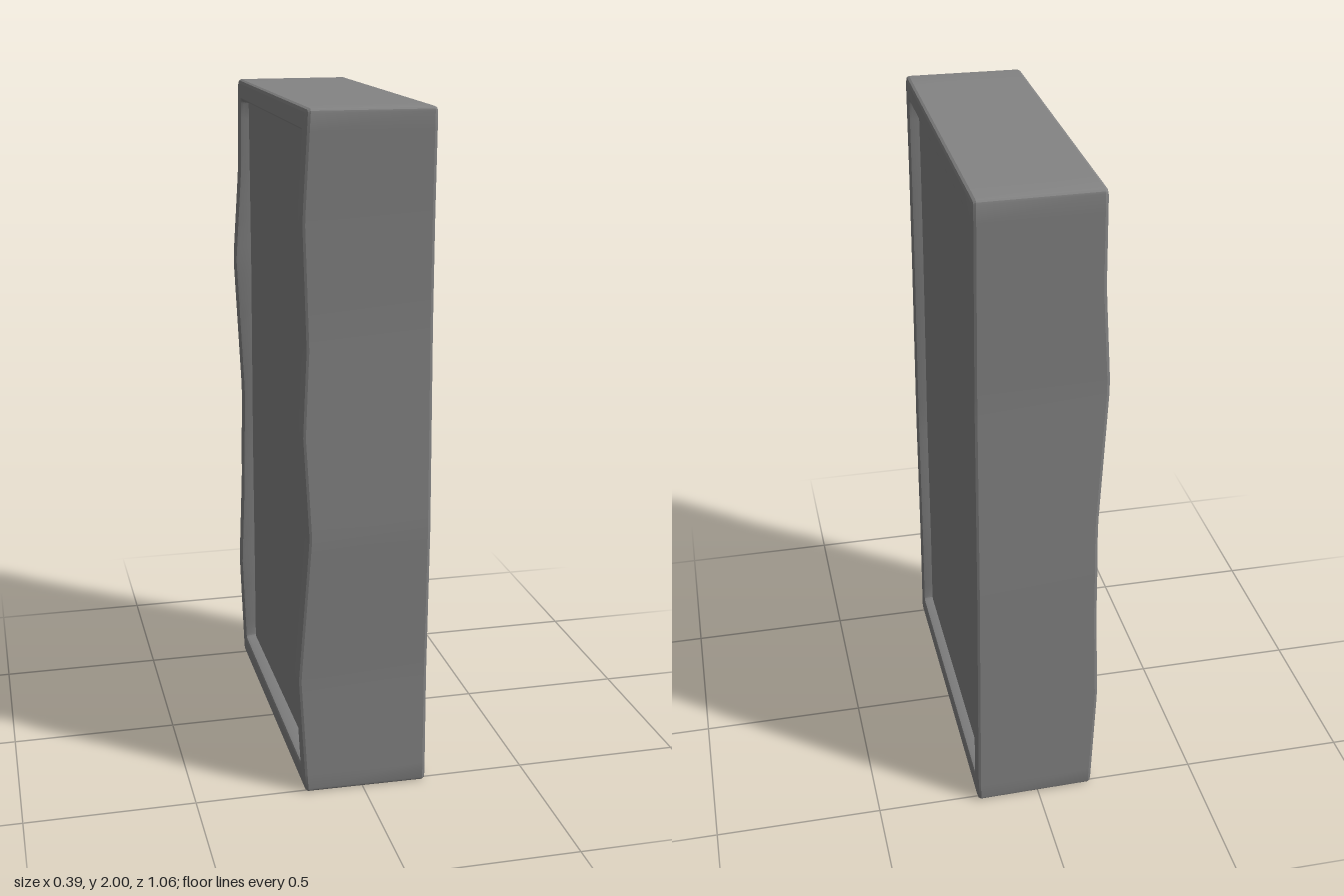
import * as THREE from 'three';
import { toCreasedNormals } from 'three/addons/utils/BufferGeometryUtils.js';

// Piecewise-linear profile: pairs of [height, value]
function sample(profile, y) {
  for (let i = 1; i < profile.length; i++) {
    const [y0, v0] = profile[i - 1], [y1, v1] = profile[i];
    if (y <= y1) return v0 + (v1 - v0) * Math.max(0, (y - y0) / (y1 - y0));
  }
  return profile[profile.length - 1][1];
}

// Uneven front edges of the two stiles on the -x side, and the half width of the slab
const frontStile = [[0, -0.175], [0.36, -0.195], [0.8, -0.165], [1.1, -0.181], [1.35, -0.169], [1.7, -0.18], [2, -0.165]];
const backStile = [[0, -0.172], [0.36, -0.185], [0.65, -0.173], [0.97, -0.168], [1.42, -0.191], [1.72, -0.17], [2, -0.165]];
const frontWidth = [[0, 0.521], [0.35, 0.517], [0.8, 0.531], [1.4, 0.517], [1.7, 0.518], [2, 0.527]];
const backWidth = [[0, 0.522], [0.35, 0.523], [0.8, 0.528], [1.4, 0.517], [2, 0.527]];

const SIDE = 40, TOP = 10;

// One closed outline at the given inset, counter-clockwise seen from +x.
// follow = 1 makes its depth follow the uneven stiles, x is then an offset from them.
function outline({ x, inset, round = 0.012, follow = 0 }) {
  const bottom = inset * 1.36, top = 2 - inset * 1.18;
  const flat = []; // [side -1..1 along z, inward corner shift, y]
  const corner = (s, y, startZ) => {
    for (let i = 0; i <= 3; i++) {
      const a = (i / 3) * Math.PI / 2, c = startZ ? Math.cos(a) : Math.sin(a), d = startZ ? Math.sin(a) : Math.cos(a);
      flat.push([s, round * (1 - c), y > 1 ? y - round * (1 - d) : y + round * (1 - d)]);
    }
  };
  const straight = (s, from, to) => {
    for (let i = 1; i < SIDE; i++) flat.push([s, 0, from + (to - from) * i / SIDE]);
  };
  const across = (s, y) => {
    for (let i = 1; i < TOP; i++) flat.push([s * (1 - 2 * i / TOP), round, y]);
  };
  straight(-1, bottom + round, top - round);
  corner(-1, top, true);
  across(-1, top);
  corner(1, top, false);
  straight(1, top - round, bottom + round);
  corner(1, bottom, true);
  across(1, bottom);
  corner(-1, bottom, false);
  return flat.map(([s, shift, y]) => {
    const width = sample(s < 0 ? backWidth : frontWidth, y) - inset - shift;
    const taper = x < 0 || follow ? 0.006 : 0;
    const z = s * (width - taper);
    const blend = (s + 1) / 2;
    const edge = sample(backStile, y) * (1 - blend) + sample(frontStile, y) * blend;
    return [follow ? edge + x : x, y, z];
  });
}

// Low crease angle: the faces stay evenly shaded, only the gentle waves are smoothed
function mesh(name, points, index) {
  const geometry = new THREE.BufferGeometry();
  geometry.setAttribute('position', new THREE.Float32BufferAttribute(points.flat(), 3));
  geometry.setIndex(index);
  const result = new THREE.Mesh(toCreasedNormals(geometry, 0.3), new THREE.MeshStandardMaterial({ color: 0x848484 }));
  result.name = name;
  return result;
}

// Skin between successive outlines
function skin(name, rings) {
  const n = rings[0].length, index = [];
  for (let k = 0; k < rings.length - 1; k++) {
    for (let i = 0; i < n; i++) {
      const j = (i + 1) % n, a = k * n + i, b = k * n + j;
      index.push(a, a + n, b + n, a, b + n, b);
    }
  }
  return mesh(name, rings.flat(), index);
}

// Flat recessed panel filling an outline
function panel(name, ring, facing) {
  const n = ring.length, index = [];
  for (let i = 0; i < n; i++) {
    const j = (i + 1) % n;
    index.push(n, facing > 0 ? i : j, facing > 0 ? j : i);
  }
  return mesh(name, [...ring, [ring[0][0], 1, 0]], index);
}

export function createModel() {
  const group = new THREE.Group();
  group.name = 'framedSlab';

  // Inner lip, face and outer rounding of the frame on the +x side
  const left = [
    { x: 0.163, inset: 0.056 }, { x: 0.184, inset: 0.053 }, { x: 0.191, inset: 0.051 }, { x: 0.193, inset: 0.047 },
    { x: 0.193, inset: 0.01 }, { x: 0.19, inset: 0.003 }, { x: 0.183, inset: 0 },
  ].map(outline);

  // The same on the uneven -x side, from outside to inside
  const right = [
    { x: 0.01, inset: 0, follow: 1 }, { x: 0.003, inset: 0.003, follow: 1 }, { x: 0, inset: 0.01, follow: 1 },
    { x: 0, inset: 0.047, follow: 1 }, { x: 0.003, inset: 0.051, follow: 1 }, { x: 0.01, inset: 0.053, follow: 1 },
    { x: -0.14, inset: 0.056 },
  ].map(outline);

  group.add(skin('frame', [...left, ...right]));
  group.add(panel('leftPanel', left[0], 1));
  group.add(panel('rightPanel', right[right.length - 1], -1));
  return group;
}
